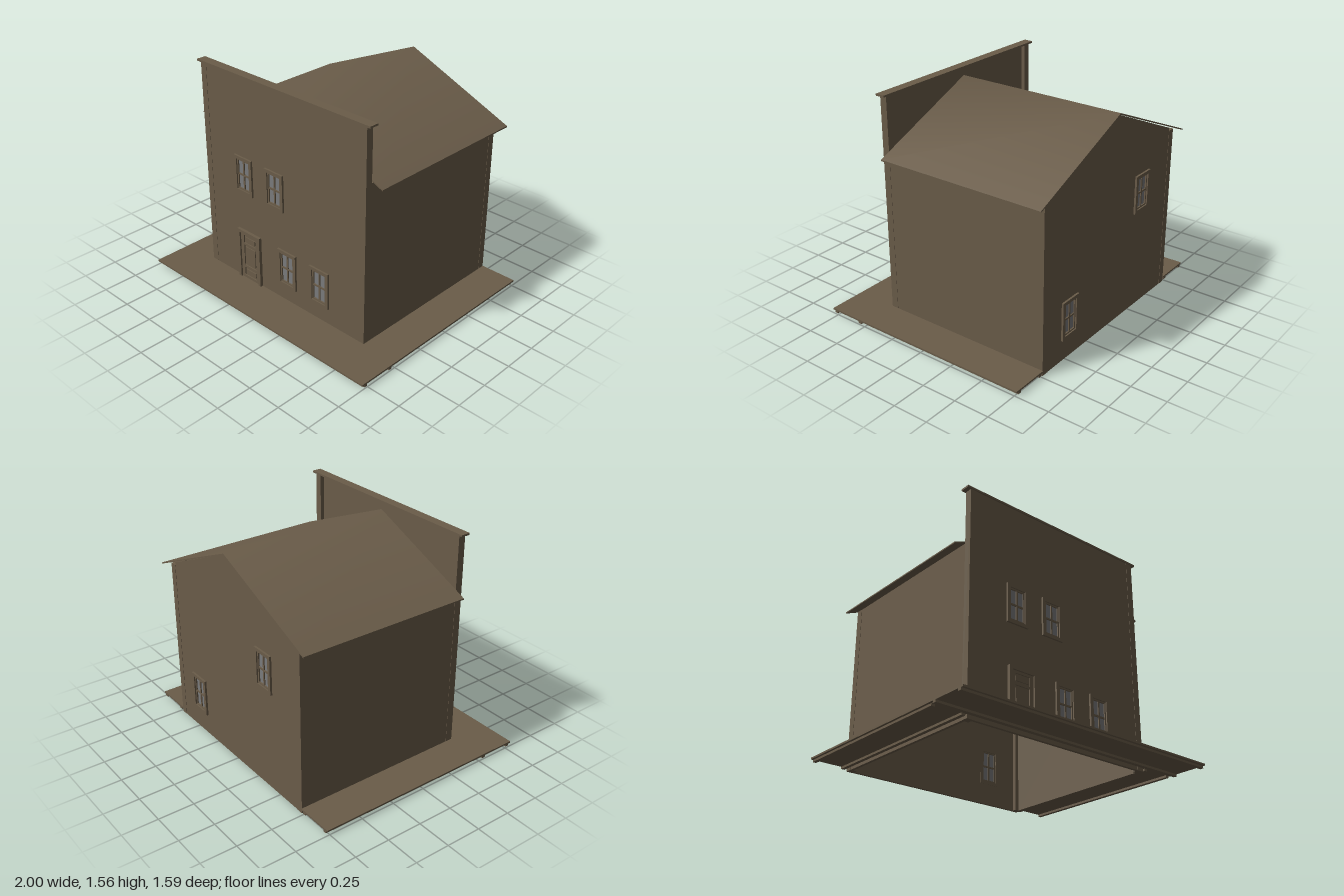
import * as THREE from 'three';
import { toCreasedNormals } from 'three/addons/utils/BufferGeometryUtils.js';

const wood = new THREE.MeshStandardMaterial({ color: 0x6a5c49 });
wood.name = 'brown wood';
const glass = new THREE.MeshStandardMaterial({ color: 0x7a7b7c, side: THREE.DoubleSide });
glass.name = 'grey glass';

const HALF = 0.735, FRONT = 0.495, BACK = -0.765, POST = 0.05, WALL = 0.02;
const WIN_W = 0.17, WIN_H = 0.27;

// Box given by its minimum and maximum corners
function box(parent, name, x0, x1, y0, y1, z0, z1, material = wood) {
  const mesh = new THREE.Mesh(new THREE.BoxGeometry(x1 - x0, y1 - y0, z1 - z0), material);
  mesh.position.set((x0 + x1) / 2, (y0 + y1) / 2, (z0 + z1) / 2);
  mesh.name = name;
  parent.add(mesh);
  return mesh;
}

function rectangle(target, w, h, cx = 0, cy = 0) {
  target.moveTo(cx - w / 2, cy - h / 2);
  target.lineTo(cx + w / 2, cy - h / 2);
  target.lineTo(cx + w / 2, cy + h / 2);
  target.lineTo(cx - w / 2, cy + h / 2);
  target.closePath();
  return target;
}

// Extruded outline spanning z0 to z1
function slab(parent, name, shape, z0, z1) {
  const geo = new THREE.ExtrudeGeometry(shape, { depth: z1 - z0, bevelEnabled: false });
  geo.translate(0, 0, z0);
  const mesh = new THREE.Mesh(geo, wood);
  mesh.name = name;
  parent.add(mesh);
  return mesh;
}

function frame(parent, name, w, h, holeW, holeH, z0, z1) {
  const shape = rectangle(new THREE.Shape(), w, h);
  shape.holes.push(rectangle(new THREE.Path(), holeW, holeH));
  return slab(parent, name, shape, z0, z1);
}

// Four-pane window, with z = 0 at the outer wall face
function makeWindow(name) {
  const g = new THREE.Group();
  g.name = name;
  frame(g, 'windowCasing', WIN_W, WIN_H, 0.12, 0.225, -0.024, 0.012);
  frame(g, 'windowSash', 0.12, 0.225, 0.1, 0.205, -0.018, 0.003);
  box(g, 'verticalMuntin', -0.006, 0.006, -0.1025, 0.1025, -0.016, 0.001);
  box(g, 'horizontalMuntin', -0.05, 0.05, -0.006, 0.006, -0.016, 0.001);
  box(g, 'windowGlass', -0.05, 0.05, -0.1025, 0.1025, -0.01, -0.006, glass);
  return g;
}

// Panelled door, standing on its own y = 0
function makeDoor() {
  const g = new THREE.Group();
  g.name = 'door';
  const w = 0.22, h = 0.383;
  box(g, 'leftJamb', -w / 2, -w / 2 + 0.022, 0, h, -0.024, 0.02);
  box(g, 'rightJamb', w / 2 - 0.022, w / 2, 0, h, -0.024, 0.02);
  box(g, 'doorHead', -w / 2 + 0.022, w / 2 - 0.022, h - 0.022, h, -0.024, 0.02);
  box(g, 'doorLeaf', -0.088, 0.088, 0, h - 0.022, -0.018, 0);
  for (const side of [-1, 1]) {
    box(g, 'doorStile', side * 0.073 - 0.015, side * 0.073 + 0.015, 0, h - 0.022, 0, 0.008);
  }
  for (const [y0, y1] of [[0, 0.02], [0.085, 0.102], [0.268, 0.282], [0.345, 0.361]]) {
    box(g, 'doorRail', -0.058, 0.058, y0, y1, 0, 0.008);
  }
  for (const [y0, y1] of [[0.036, 0.07], [0.118, 0.253], [0.297, 0.33]]) {
    box(g, 'doorPanel', -0.05, 0.05, y0, y1, 0, 0.007);
  }
  return g;
}

export function createModel() {
  const model = new THREE.Group();
  model.name = 'falseFrontBuilding';

  const frontWindows = [[-0.355, 0.845], [-0.06, 0.845], [0.045, 0.285], [0.342, 0.285]];
  const backWindows = [[0.455, 0.285], [-0.355, 0.845]];
  const inner = HALF - POST;

  // Front wall with window and door openings
  const frontShape = new THREE.Shape();
  rectangle(frontShape, inner * 2, 1.55, 0, 0.775);
  for (const [x, y] of frontWindows) {
    frontShape.holes.push(rectangle(new THREE.Path(), 0.13, 0.24, x, y));
  }
  frontShape.holes.push(rectangle(new THREE.Path(), 0.19, 0.37, -0.32, 0.225));
  slab(model, 'frontWall', frontShape, FRONT - WALL - 0.002, FRONT - 0.002);

  // Gabled back wall
  const backShape = new THREE.Shape([
    [-inner, 0], [inner, 0], [inner, 1.192], [0, 1.488], [-inner, 1.192],
  ].map(([x, y]) => new THREE.Vector2(x, y)));
  for (const [x, y] of backWindows) {
    backShape.holes.push(rectangle(new THREE.Path(), 0.13, 0.24, x, y));
  }
  slab(model, 'backWall', backShape, BACK + 0.002, BACK + WALL + 0.002);

  // Side walls and corner posts
  for (const s of [-1, 1]) {
    const x = s * (HALF - WALL / 2 - 0.002);
    box(model, 'sideWall', x - WALL / 2, x + WALL / 2, 0, 1.172, BACK + POST, FRONT - POST);
    const px = s * (HALF - POST / 2);
    box(model, 'frontPost', px - POST / 2, px + POST / 2, 0, 1.55, FRONT - POST, FRONT);
    box(model, 'backPost', px - POST / 2, px + POST / 2, 0, 1.172, BACK, BACK + POST);
  }
  box(model, 'frontCap', -0.765, 0.765, 1.55, 1.563, 0.435, 0.502);

  // Gable roof, with softened shading over the ridge
  const roofShape = new THREE.Shape([
    [-0.815, 1.145], [0, 1.491], [0.815, 1.145], [0.815, 1.154], [0, 1.5], [-0.815, 1.154],
  ].map(([x, y]) => new THREE.Vector2(x, y)));
  const roof = slab(model, 'roof', roofShape, -0.795, 0.44);
  roof.geometry = toCreasedNormals(roof.geometry, THREE.MathUtils.degToRad(50));

  // Windows and door
  for (const [x, y] of frontWindows) {
    const w = makeWindow('frontWindow');
    w.position.set(x, y, FRONT);
    model.add(w);
  }
  for (const [x, y] of backWindows) {
    const w = makeWindow('backWindow');
    w.position.set(x, y, BACK);
    w.rotation.y = Math.PI;
    model.add(w);
  }
  const door = makeDoor();
  door.position.set(-0.32, 0.037, FRONT);
  model.add(door);

  // Boardwalk around the front and both sides, on joists
  box(model, 'frontDeck', -1, 1, 0.025, 0.037, FRONT, 0.795);
  for (const z of [0.765, 0.542]) {
    box(model, 'frontJoist', -1, 1, 0.01, 0.025, z - 0.0125, z + 0.0125);
  }
  for (const s of [-1, 1]) {
    const x = s * (1 + HALF) / 2, half = (1 - HALF) / 2;
    box(model, 'sideDeck', x - half, x + half, 0.025, 0.037, -0.768, FRONT);
    for (const jx of [0.972, 0.762]) {
      box(model, 'sideJoist', s * jx - 0.0125, s * jx + 0.0125, 0.01, 0.025, -0.768, FRONT);
    }
  }
  return model;
}
